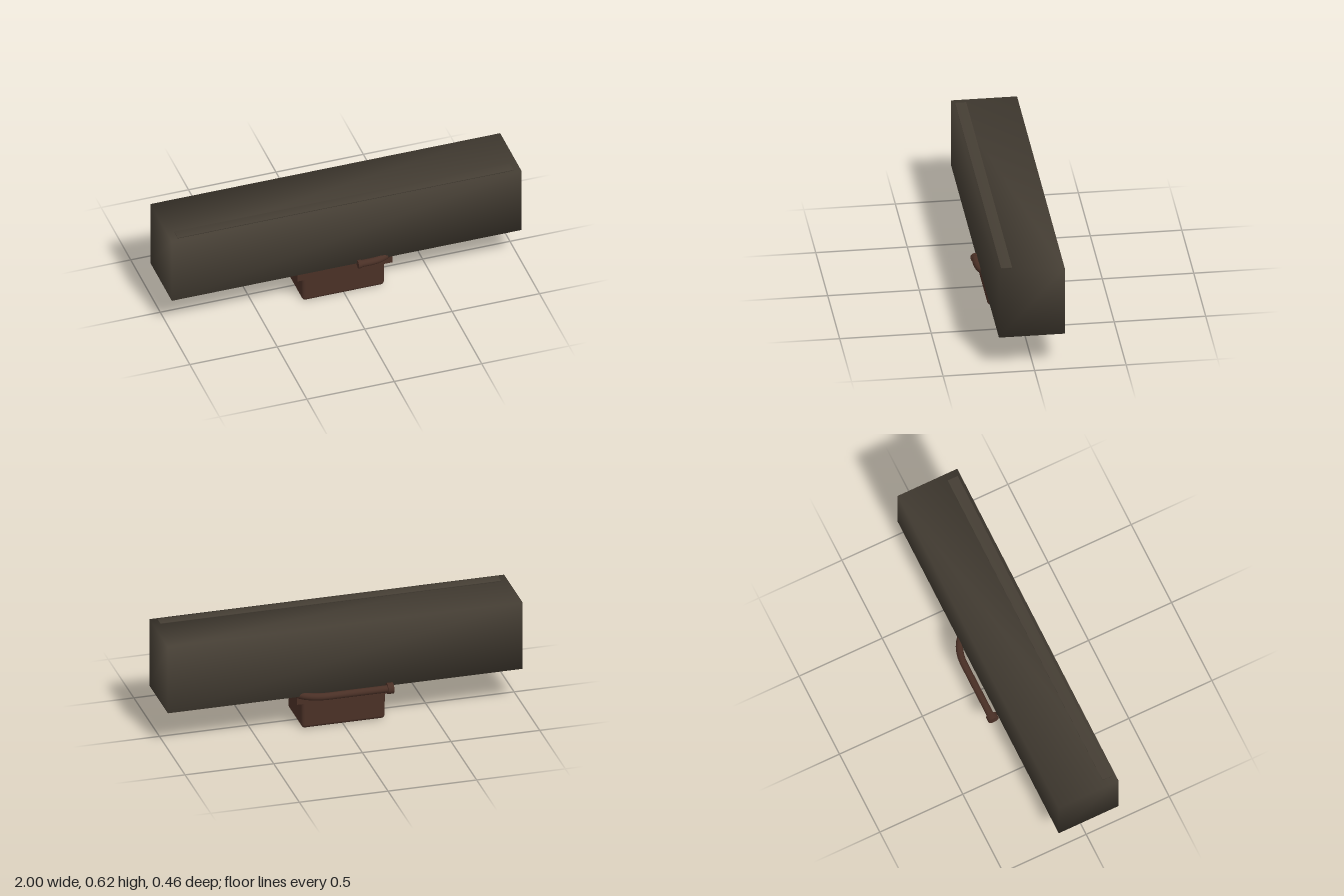
import * as THREE from 'three';
import { mergeVertices } from 'three/addons/utils/BufferGeometryUtils.js';
import { RoundedBoxGeometry } from 'three/addons/geometries/RoundedBoxGeometry.js';

export function createModel() {
  const model = new THREE.Group();
  const material = (name, color) => {
    const m = new THREE.MeshStandardMaterial({ color });
    m.name = name;
    return m;
  };
  const casing = material('dark grey brown', 0x453e34);
  const wood = material('reddish brown', 0x4a3026);

  const add = (name, geometry, mat, x, y, z) => {
    const mesh = new THREE.Mesh(geometry, mat);
    mesh.name = name;
    mesh.position.set(x, y, z);
    model.add(mesh);
    return mesh;
  };

  // Box whose corners share normals, so shading rolls softly over the edges
  const softBox = (w, h, d) => {
    let g = new THREE.BoxGeometry(w, h, d);
    g.deleteAttribute('normal');
    g.deleteAttribute('uv');
    g = mergeVertices(g);
    g.computeVertexNormals();
    return g;
  };

  // Long casing
  add('casing', softBox(2, 0.4, 0.36), casing, 0, 0.415, 0.015);

  // Raised slot cover near the front of the top
  add('topStrip', softBox(1.92, 0.008, 0.06), casing, 0, 0.616, 0.148);

  // Rim of the lower housing
  add('housingRim', new THREE.BoxGeometry(0.542, 0.06, 0.326), wood, -0.003, 0.19, 0.015);

  // Lower housing, rounded and slightly narrower at the bottom
  const housing = new RoundedBoxGeometry(0.474, 0.2, 0.286, 4, 0.02);
  const p = housing.attributes.position;
  for (let i = 0; i < p.count; i++) {
    const s = 0.99 + 0.05 * (p.getY(i) + 0.1);
    p.setX(i, p.getX(i) * s);
    p.setZ(i, p.getZ(i) * s);
  }
  housing.computeBoundingSphere();
  add('lowerHousing', housing, wood, -0.003, 0.1, 0.015);

  // Pipe running round the left side from front to back
  const path = new THREE.CurvePath();
  const v = (x, z) => new THREE.Vector3(x, 0.215, z);
  path.add(new THREE.LineCurve3(v(0.07, 0.205), v(0.12, 0.205)));
  path.add(new THREE.CubicBezierCurve3(v(0.12, 0.205), v(0.22, 0.205), v(0.28, 0.16), v(0.28, 0.08)));
  path.add(new THREE.LineCurve3(v(0.28, 0.08), v(0.28, -0.07)));
  path.add(new THREE.CubicBezierCurve3(v(0.28, -0.07), v(0.28, -0.15), v(0.2, -0.2), v(0.1, -0.2)));
  path.add(new THREE.LineCurve3(v(0.1, -0.2), v(-0.24, -0.2)));
  add('pipe', new THREE.TubeGeometry(path, 64, 0.02, 12, false), wood, 0, 0, 0);

  // Collars closing both pipe ends
  const collar = (name, x, z, r, length) => {
    const g = new THREE.CylinderGeometry(r, r, length, 12).rotateZ(Math.PI / 2);
    add(name, g, wood, x, 0.215, z);
  };
  collar('frontCollar', 0.07, 0.205, 0.024, 0.02);
  collar('backCollar', -0.243, -0.197, 0.031, 0.034);

  return model;
}
